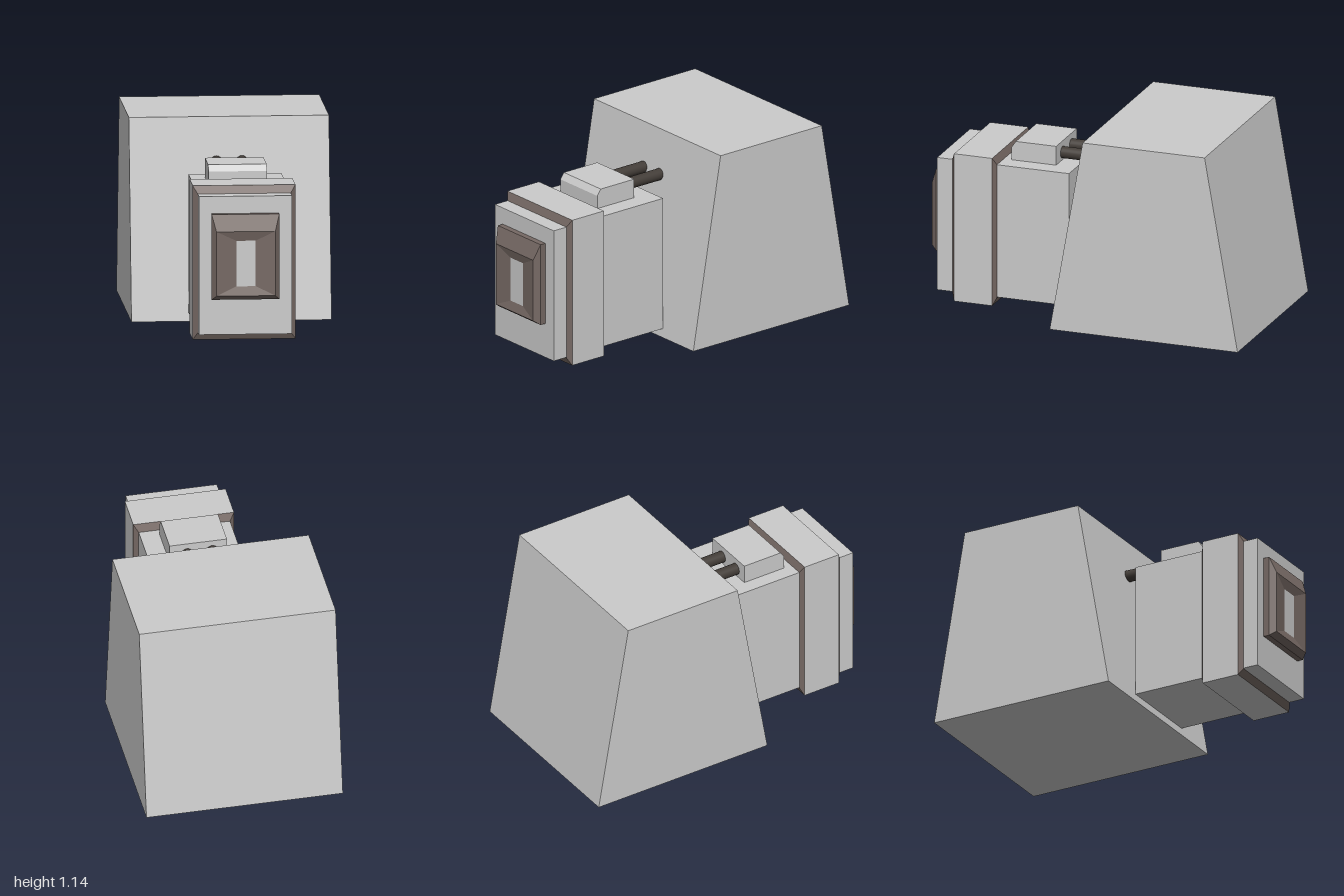
import * as THREE from 'three';

const grey = new THREE.MeshStandardMaterial({ color: 0xcccccc });
const brown = new THREE.MeshStandardMaterial({ color: 0x766964 });
const dark = new THREE.MeshStandardMaterial({ color: 0x433d38 });

// Skin through rectangles [x0, x1, y0, y1, z], listed from back to front
function rectLoft(sections) {
  const pos = [];
  const corners = ([x0, x1, y0, y1, z]) => [[x0, y0, z], [x1, y0, z], [x1, y1, z], [x0, y1, z]];
  for (let s = 0; s < sections.length - 1; s++) {
    const a = corners(sections[s]), b = corners(sections[s + 1]);
    for (let i = 0; i < 4; i++) {
      const j = (i + 1) % 4;
      pos.push(...a[i], ...a[j], ...b[j], ...a[i], ...b[j], ...b[i]);
    }
  }
  const geo = new THREE.BufferGeometry();
  geo.setAttribute('position', new THREE.Float32BufferAttribute(pos, 3));
  geo.computeVertexNormals();
  return geo;
}

// Side profile of [z, y] points extruded across x from x0 to x1
function sideProfile(points, x0, x1) {
  const shape = new THREE.Shape(points.map(([z, y]) => new THREE.Vector2(-z, y)));
  const geo = new THREE.ExtrudeGeometry(shape, { depth: x1 - x0, bevelEnabled: false });
  return geo.rotateY(Math.PI / 2).translate(x0, 0, 0);
}

export function createModel() {
  const model = new THREE.Group();
  const add = (name, geo, mat, parent = model) => {
    const mesh = new THREE.Mesh(geo, mat);
    mesh.name = name;
    parent.add(mesh);
    return mesh;
  };

  // Large tapered block at the back
  add('taperedBlock', sideProfile([[0.14, 0], [-1, 0], [-0.8, 1.145], [-0.06, 1.145]], -0.57, 0.57), grey);

  // Upright housing in front of it
  add('housing', new THREE.BoxGeometry(0.53, 0.795, 0.8).translate(0.02, 0.4475, 0.53), grey);

  // Collar around the housing, with dark chamfers
  const collar = new THREE.Group();
  collar.name = 'collar';
  model.add(collar);
  const inner = [-0.245, 0.285, 0.047, 0.845], outer = [-0.272, 0.313, 0.004, 0.89];
  add('collarBand', rectLoft([[...outer, 0.586], [...outer, 0.817]]), grey, collar);
  add('collarRearChamfer', rectLoft([[...inner, 0.567], [...outer, 0.586]]), brown, collar);
  add('collarFrontChamfer', rectLoft([[...outer, 0.817], [...inner, 0.838]]), brown, collar);

  // Bevelled frame with a shallow dished face around a small window
  const frame = [-0.175, 0.21, 0.256, 0.746], rim = [-0.15, 0.185, 0.282, 0.652];
  const opening = [-0.036, 0.074, 0.335, 0.597];
  add('windowFrame', rectLoft([[...frame, 0.925], [...frame, 0.965], [...rim, 1], [...opening, 0.985]]), brown);
  add('windowPane', new THREE.PlaneGeometry(0.11, 0.262).translate(0.019, 0.466, 0.985), grey);

  // Connector on top of the housing, front edge chamfered
  add('connector', sideProfile([[0.52, 0.84], [0.25, 0.84], [0.25, 0.958], [0.495, 0.958], [0.52, 0.922]], -0.16, 0.173), grey);

  // Two rods linking the connector to the block
  for (const [name, x] of [['rightRod', -0.074], ['leftRod', 0.071]]) {
    const rod = new THREE.CylinderGeometry(0.034, 0.034, 0.29, 24).rotateX(Math.PI / 2);
    add(name, rod.translate(x, 0.891, 0.115), dark);
  }

  return model;
}
